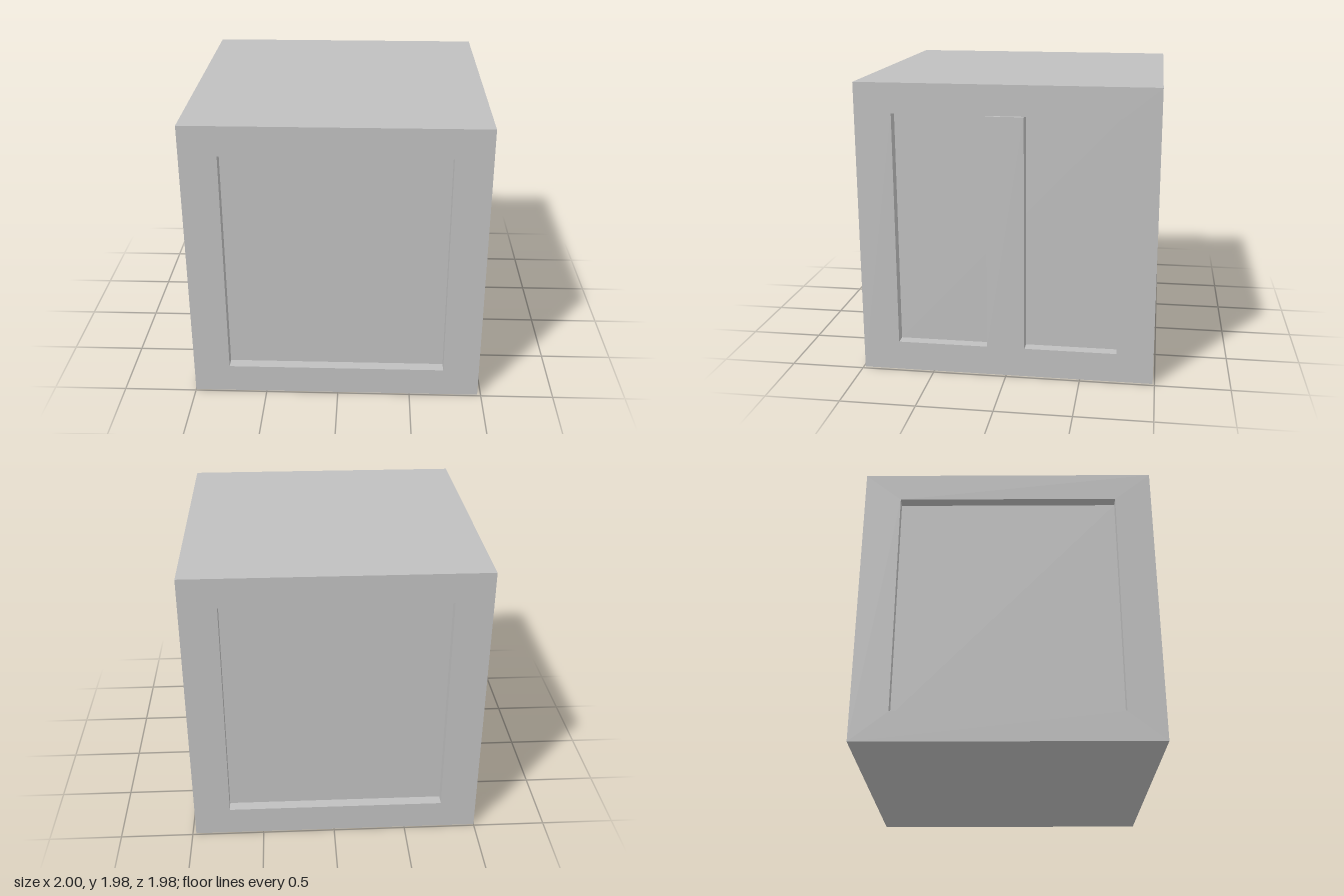
import * as THREE from 'three';

const HALF = 0.988;          // half width of the crate
const HEIGHT = 1.98;
const OPEN = 0.742;          // half width of each recess
const OPEN_H = 0.79;         // half height of each recess
const DEPTH = 0.076;         // recess depth
const CX = -0.012;           // crate is offset to make room for the bar

export function createModel() {
  const grey = new THREE.MeshStandardMaterial({ color: 0xbfbfbf });
  grey.name = 'grey';
  const model = new THREE.Group();
  model.name = 'crate';

  const add = (parent, name, geometry, x, y, z, rx = 0, ry = 0) => {
    const mesh = new THREE.Mesh(geometry, grey);
    mesh.name = name;
    mesh.position.set(x, y, z);
    mesh.rotation.set(rx, ry, 0);
    parent.add(mesh);
  };

  const body = new THREE.Group();
  body.name = 'body';
  body.position.set(CX, HEIGHT / 2, 0);
  model.add(body);

  // plain top and bottom
  const lid = new THREE.PlaneGeometry(2 * HALF, 2 * HALF);
  add(body, 'top', lid, 0, HEIGHT / 2, 0, -Math.PI / 2);
  add(body, 'bottom', lid, 0, -HEIGHT / 2, 0, Math.PI / 2);

  // frame face with a rectangular opening
  const rect = (path, w, h) =>
    path.moveTo(-w, -h).lineTo(w, -h).lineTo(w, h).lineTo(-w, h).closePath();
  const outline = rect(new THREE.Shape(), HALF, HEIGHT / 2);
  outline.holes.push(rect(new THREE.Path(), OPEN, OPEN_H));
  const frame = new THREE.ShapeGeometry(outline);
  const panel = new THREE.PlaneGeometry(2 * OPEN, 2 * OPEN_H);
  const ledge = new THREE.PlaneGeometry(2 * OPEN, DEPTH);
  const jamb = new THREE.PlaneGeometry(DEPTH, 2 * OPEN_H);

  // four recessed sides
  ['front', 'left', 'back', 'right'].forEach((name, i) => {
    const side = new THREE.Group();
    side.name = name + 'Side';
    side.rotation.y = i * Math.PI / 2;
    body.add(side);
    const mid = HALF - DEPTH / 2;
    add(side, 'frame', frame, 0, 0, HALF);
    add(side, 'recessedPanel', panel, 0, 0, HALF - DEPTH);
    for (const s of [-1, 1]) {
      add(side, 'recessLedge', ledge, 0, s * OPEN_H, mid, s * Math.PI / 2);
      add(side, 'recessJamb', jamb, s * OPEN, 0, mid, 0, -s * Math.PI / 2);
    }
  });

  // upright bar standing proud of the left recess
  const inner = CX + HALF - DEPTH;
  add(model, 'uprightBar', new THREE.BoxGeometry(1 - inner, 2 * OPEN_H, 0.25),
    (1 + inner) / 2, HEIGHT / 2, 0);

  return model;
}
